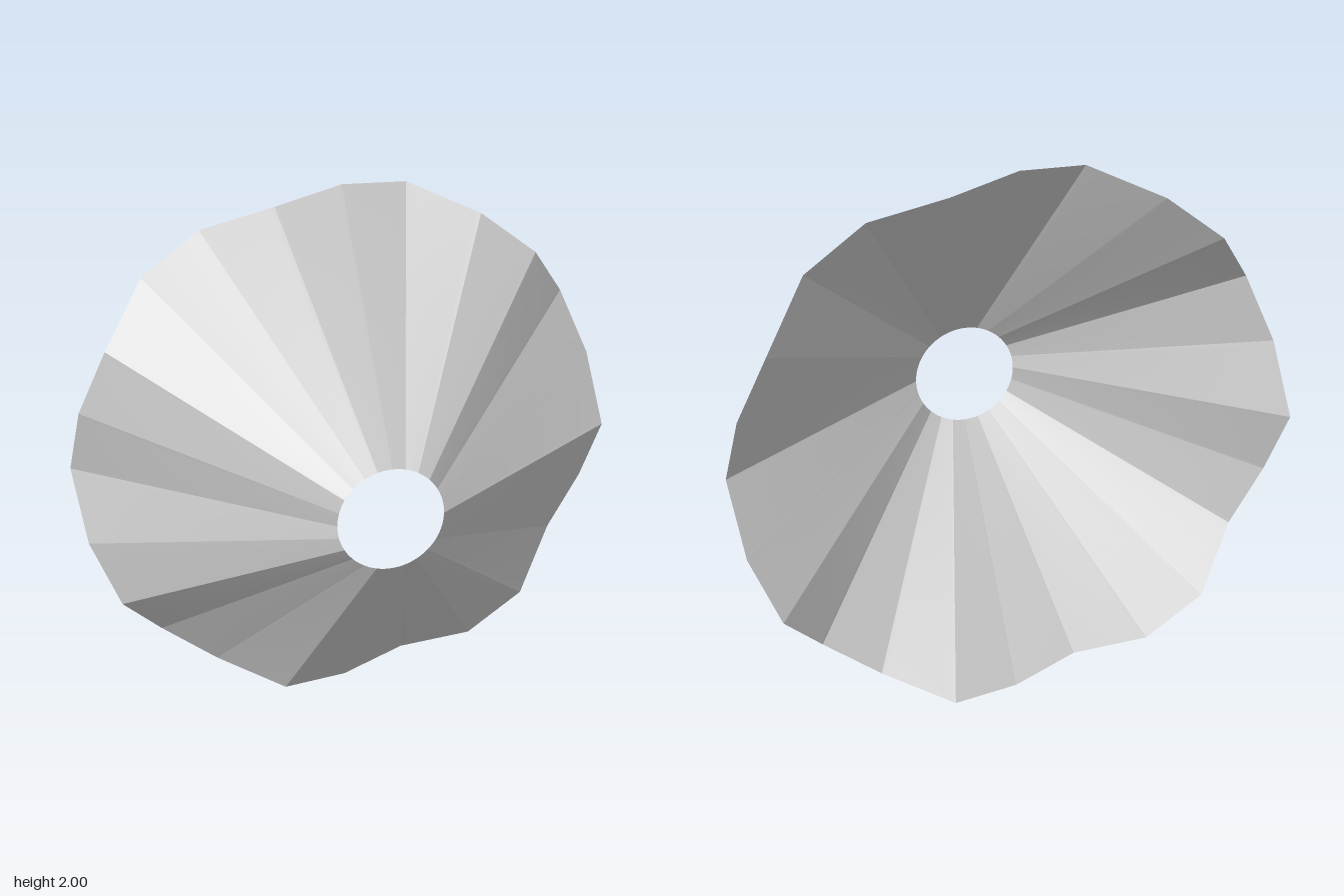
import * as THREE from 'three';

const PANELS = 24, STEPS = 14;
const INNER_RADIUS = 0.19, OUTER_RADIUS = 1, FRONT_Z = 0.35;

// Corner of the wavy 24-sided rim: seven waves around the circle
function rimCorner(i) {
  const a = (i / PANELS) * Math.PI * 2;
  return new THREE.Vector3(
    Math.cos(a) * OUTER_RADIUS, Math.sin(a) * OUTER_RADIUS, -0.265 + 0.085 * Math.cos(7 * a));
}

// Ruled panels between a round opening and the straight-sided rim;
// panels share no vertices, so the folds between them stay sharp
function pleatedCone() {
  const positions = [], indices = [];
  for (let p = 0; p < PANELS; p++) {
    const start = rimCorner(p), end = rimCorner(p + 1);
    const base = positions.length / 3;
    for (let s = 0; s <= STEPS; s++) {
      const t = s / STEPS;
      const a = ((p + t) / PANELS) * Math.PI * 2;
      const rim = start.clone().lerp(end, t);
      positions.push(Math.cos(a) * INNER_RADIUS, Math.sin(a) * INNER_RADIUS, FRONT_Z);
      positions.push(rim.x, rim.y, rim.z);
      if (s < STEPS) {
        const k = base + s * 2;
        indices.push(k, k + 1, k + 3, k, k + 3, k + 2);
      }
    }
  }
  const geometry = new THREE.BufferGeometry();
  geometry.setAttribute('position', new THREE.Float32BufferAttribute(positions, 3));
  geometry.setIndex(indices);
  geometry.computeVertexNormals();
  return geometry;
}

export function createModel() {
  const group = new THREE.Group();
  group.name = 'pleatedShade';

  // Thin open sheet, narrow opening to the front
  const shade = new THREE.Mesh(
    pleatedCone(),
    new THREE.MeshStandardMaterial({ color: 0xcccccc, side: THREE.DoubleSide }));
  shade.name = 'shade';
  shade.position.y = OUTER_RADIUS;
  group.add(shade);
  return group;
}
